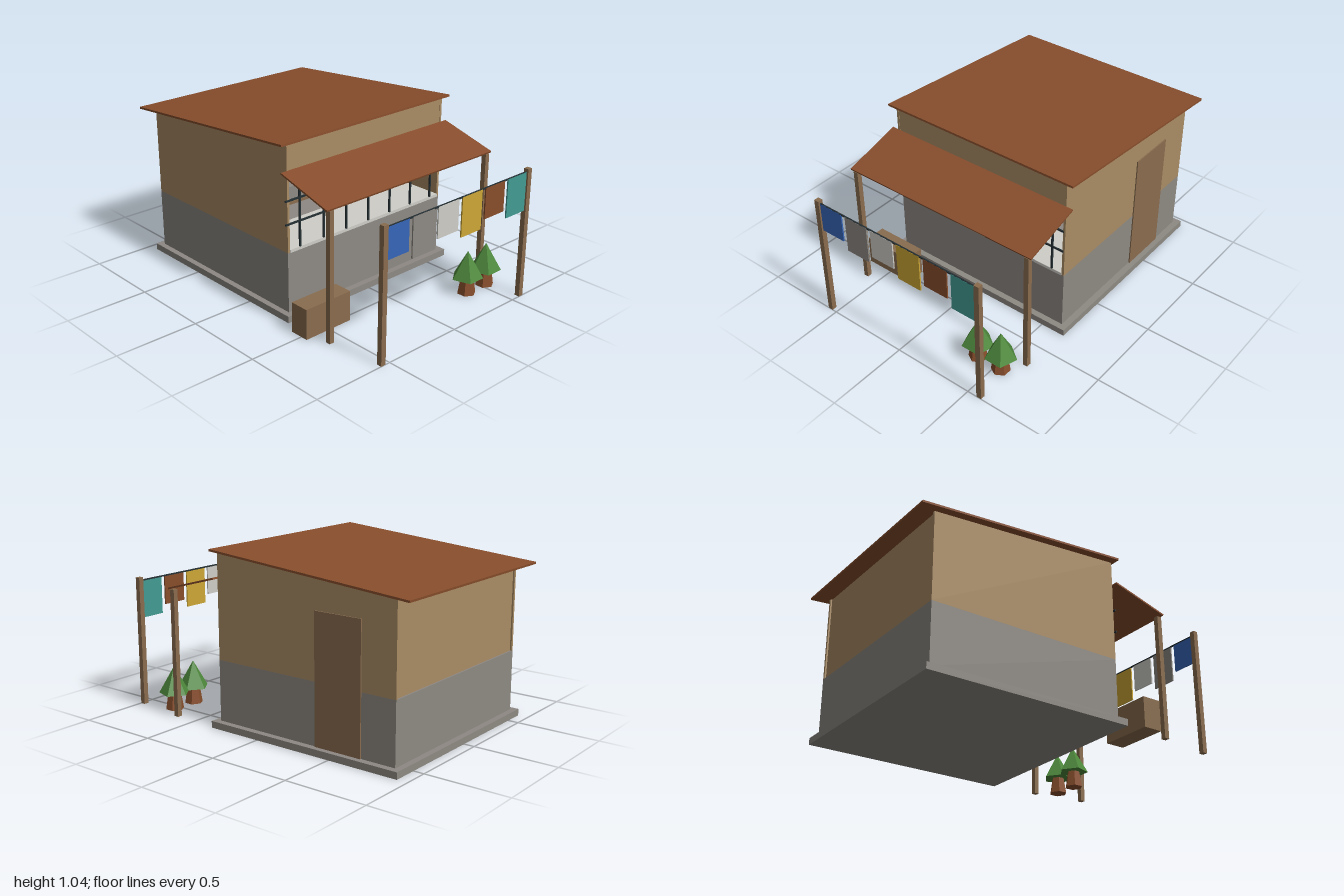
import * as THREE from 'three';

const mat = (name, color) => {
  const m = new THREE.MeshStandardMaterial({ color });
  m.name = name;
  return m;
};

export function createModel() {
  const root = new THREE.Group();
  root.name = 'shopHouse';
  const tan = mat('tanWall', 0xaa8c65), grey = mat('greyConcrete', 0x8e8983);
  const wood = mat('wood', 0x896c4e), brown = mat('rustBrown', 0x884e2c);
  const dark = mat('darkMetal', 0x253034), white = mat('offWhite', 0xcfcec8);
  const blue = mat('blueCloth', 0x3666ba), yellow = mat('yellowCloth', 0xcda735);
  const teal = mat('tealCloth', 0x449b94), green = mat('leafGreen', 0x4f8a3d);

  const add = (name, geo, material, x = 0, y = 0, z = 0) => {
    const m = new THREE.Mesh(geo, material);
    m.name = name;
    m.position.set(x, y, z);
    root.add(m);
    return m;
  };
  // box given by its limits on each axis
  const box = (name, material, x0, x1, y0, y1, z0, z1) =>
    add(name, new THREE.BoxGeometry(x1 - x0, y1 - y0, z1 - z0), material,
      (x0 + x1) / 2, (y0 + y1) / 2, (z0 + z1) / 2);
  // sloped slab between two top edges
  const slab = (name, x0, x1, zBack, yBack, zFront, yFront, t) => {
    const dz = zFront - zBack, dy = yFront - yBack;
    const m = add(name, new THREE.BoxGeometry(x1 - x0, t, Math.hypot(dz, dy)), brown,
      (x0 + x1) / 2, (yBack + yFront - t) / 2, (zBack + zFront) / 2);
    m.rotation.x = -Math.atan2(dy, dz);
  };

  // Foundation and lower walls
  box('foundation', grey, -0.62, 0.652, 0, 0.04, -0.937, 0.342);
  box('lowerWall', grey, -0.585, 0.613, 0.04, 0.4, -0.9, 0.305);

  // Upper side walls follow the roof slope
  const side = new THREE.Shape([
    new THREE.Vector2(-0.9, 0.4), new THREE.Vector2(0.305, 0.4),
    new THREE.Vector2(0.305, 1.026), new THREE.Vector2(-0.9, 0.925)]);
  for (const x of [-0.57, 0.613]) {
    const g = new THREE.ExtrudeGeometry(side, { depth: 0.015, bevelEnabled: false });
    add('upperSideWall', g.rotateY(-Math.PI / 2), tan, x);
  }
  box('upperBackWall', tan, -0.57, 0.598, 0.4, 0.923, -0.89, -0.875);
  box('frontHeader', tan, -0.57, 0.598, 0.82, 1.022, 0.285, 0.303);

  // Roofs
  slab('mainRoof', -0.633, 0.66, -1, 0.928, 0.322, 1.037, 0.012);
  slab('awning', -0.625, 0.653, 0.303, 0.877, 0.66, 0.777, 0.01);
  for (const x of [-0.59, 0.623]) box('awningPost', wood, x - 0.015, x + 0.015, 0, 0.765, 0.63, 0.66);

  // Door on the side wall
  box('door', wood, 0.61, 0.62, 0.04, 0.785, -0.685, -0.385);

  // Counter and barred serving window
  box('counter', white, -0.57, 0.598, 0.4, 0.418, 0, 0.31);
  for (let i = 0; i < 7; i++) {
    const x = -0.5 + i * 0.172;
    box('windowBar', dark, x - 0.005, x + 0.005, 0.418, 0.82, 0.302, 0.312);
  }
  for (const y of [0.57, 0.706]) box('windowRail', dark, -0.6, 0.605, y - 0.005, y + 0.005, 0.303, 0.311);

  // Shelves and goods
  for (const y of [0.55, 0.69]) box('shelf', wood, -0.57, 0.598, y - 0.008, y + 0.008, -0.1, 0.06);
  [[-0.475, yellow], [-0.285, grey], [-0.09, white], [0.11, yellow], [0.31, brown], [0.5, teal]]
    .forEach(([x, m]) => box('goods', m, x - 0.06, x + 0.06, 0.558, 0.635, -0.07, 0.03));

  // Bench beside the porch
  box('bench', wood, -0.665, -0.347, 0, 0.18, 0.425, 0.543);

  // Clothes line
  for (const x of [-0.545, 0.575]) box('linePost', wood, x - 0.016, x + 0.016, 0, 0.785, 0.97, 1);
  box('clothesLine', dark, -0.53, 0.56, 0.761, 0.769, 0.981, 0.989);
  [blue, grey, white, yellow, brown, teal].forEach((m, i) => {
    const x = -0.45 + i * 0.186;
    box('cloth', m, x - 0.079, x + 0.079, i % 2 ? 0.536 : 0.586, 0.766, 0.982, 0.99);
  });

  // Potted shrubs
  for (const x of [0.375, 0.535]) {
    const pot = new THREE.CylinderGeometry(0.039, 0.055, 0.1, 6).toNonIndexed();
    pot.computeVertexNormals();
    add('shrubPot', pot, brown, x, 0.05, 0.762);
    const leaf = new THREE.ConeGeometry(0.094, 0.165, 5).rotateY(Math.PI).toNonIndexed();
    leaf.computeVertexNormals();
    add('shrubLeaves', leaf, green, x, 0.1825, 0.76);
  }
  return root;
}
